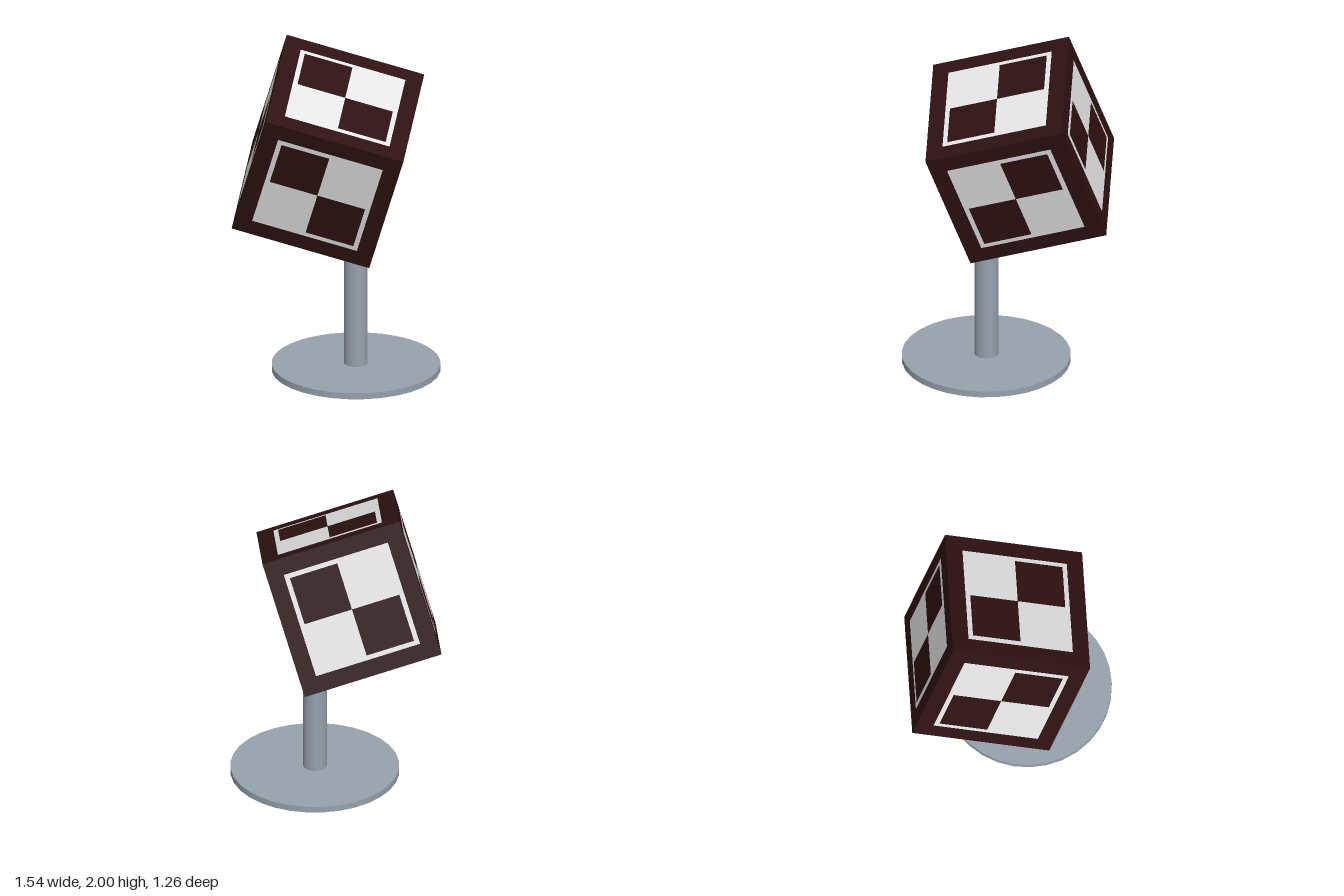
import * as THREE from 'three';

const mat = (name, color) => {
  const m = new THREE.MeshStandardMaterial({ color });
  m.name = name;
  return m;
};

export function createModel() {
  const dark = mat('dark maroon', 0x2e1112);
  const pale = mat('pale grey', 0xe6e6e6);
  const steel = mat('steel grey', 0x96a1ad);

  const model = new THREE.Group();
  model.name = 'tiltedCubeOnStand';
  const add = (parent, name, geometry, material, x, y, z) => {
    const mesh = new THREE.Mesh(geometry, material);
    mesh.name = name;
    mesh.position.set(x, y, z);
    parent.add(mesh);
    return mesh;
  };

  // Stand: round foot and post running up into the cube
  add(model, 'base', new THREE.CylinderGeometry(0.52, 0.52, 0.04, 32), steel, 0.245, 0.02, 0);
  add(model, 'post', new THREE.CylinderGeometry(0.073, 0.073, 1.06, 32), steel, 0.243, 0.57, 0);

  // Cube, turned on its corner and leaning: axes from its up edge and its top diagonal
  const up = new THREE.Vector3(0.35, 0.81, 0.017).normalize();
  const diagonal = new THREE.Vector3(1.14, -0.49, 0.017);
  diagonal.addScaledVector(up, -diagonal.dot(up)).normalize();
  const across = new THREE.Vector3().crossVectors(diagonal, up);
  const xAxis = diagonal.clone().sub(across).normalize();
  const zAxis = diagonal.clone().add(across).normalize();

  const cube = new THREE.Group();
  cube.name = 'checkerCube';
  cube.position.set(-0.025, 1.352, 0);
  cube.quaternion.setFromRotationMatrix(new THREE.Matrix4().makeBasis(xAxis, up, zAxis));
  model.add(cube);

  const size = 0.88;
  add(cube, 'cubeBody', new THREE.BoxGeometry(size, size, size), dark, 0, 0, 0);

  // Faces: rotation, and which diagonal of the panel carries the dark squares
  // (1 = upper right and lower left, -1 = upper left and lower right)
  const q = Math.PI / 2;
  const faces = [
    ['front', 0, 0, -1],
    ['back', 0, 2 * q, -1],
    ['right', 0, q, 1],
    ['left', 0, -q, 1],
    ['top', -q, 0, -1],
    ['bottom', q, 0, -1],
  ];
  const panelGeometry = new THREE.PlaneGeometry(0.67, 0.67);
  const squareGeometry = new THREE.PlaneGeometry(0.305, 0.305);
  for (const [name, rx, ry, slope] of faces) {
    const face = new THREE.Group();
    face.name = name + 'Panel';
    face.rotation.set(rx, ry, 0);
    cube.add(face);
    add(face, 'paleField', panelGeometry, pale, 0, 0, size / 2 + 0.002);
    for (const s of [-1, 1]) {
      add(face, 'darkSquare', squareGeometry, dark, s * 0.1525, s * slope * 0.1525, size / 2 + 0.004);
    }
  }

  return model;
}
